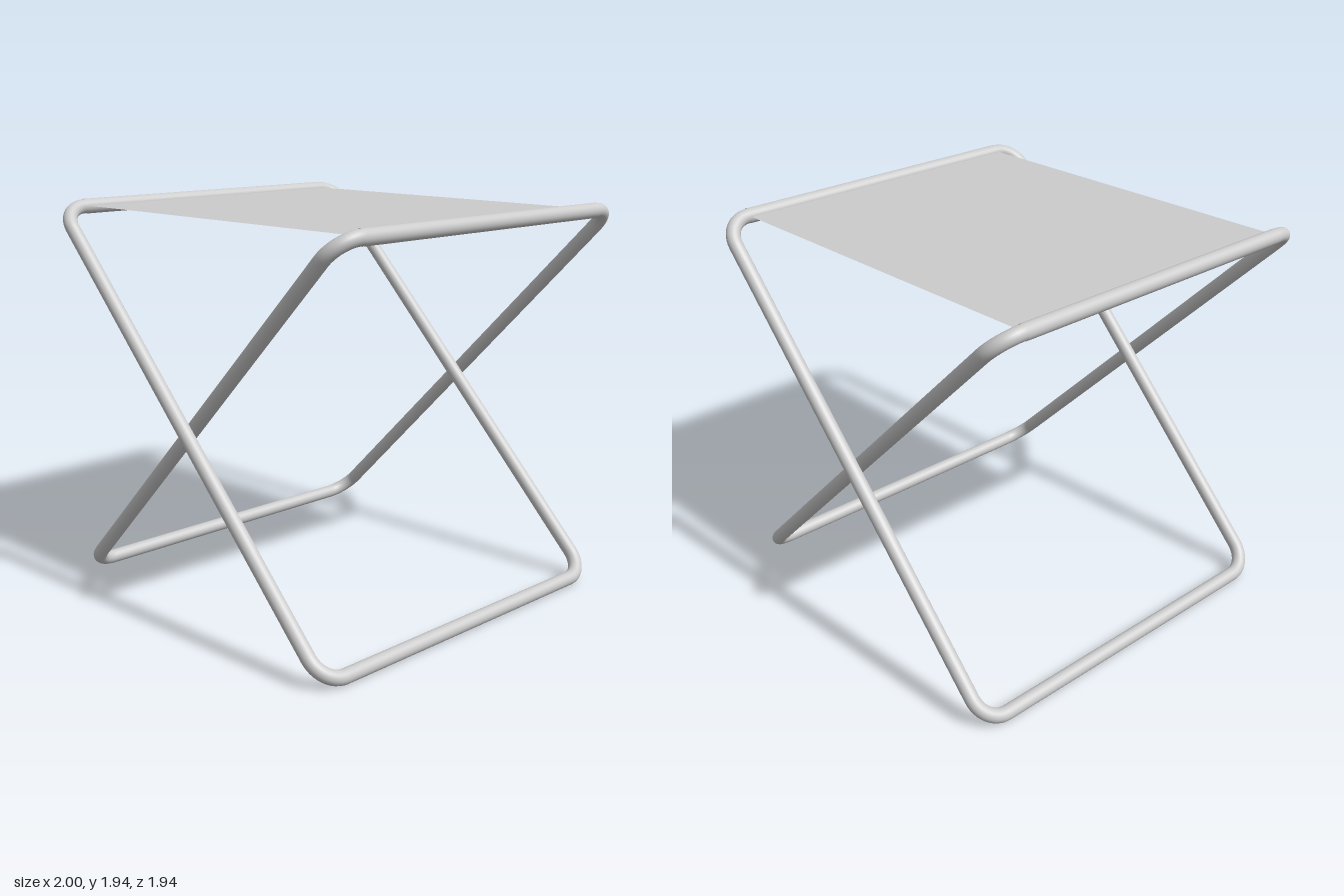
import * as THREE from 'three';

const TUBE = 0.035;          // tube radius
const BEND = 0.13;           // corner bend radius
const REACH = 0.935;         // bar distance from the crossing point, in y and z
const HALF_W = 0.925;        // frame half width
const HALF_H = REACH * Math.SQRT2;
const OFFSET = 0.04;         // sideways shift letting the frames pass each other
const MID_Y = 0.972;

const metal = new THREE.MeshStandardMaterial({ color: 0xcccccc });
const cloth = new THREE.MeshStandardMaterial({ color: 0xcccccc, side: THREE.DoubleSide });

function add(parent, name, geometry, material) {
  const mesh = new THREE.Mesh(geometry, material);
  mesh.name = name;
  parent.add(mesh);
  return mesh;
}

// Rounded rectangular loop of bent tube; side = 1 leans its top to the front
function makeFrame(name, side) {
  const frame = new THREE.Group();
  frame.name = name;
  const w = HALF_W - BEND, h = HALF_H - BEND;
  for (const s of [-1, 1]) {
    add(frame, 'leg', new THREE.CylinderGeometry(TUBE, TUBE, 2 * h, 24, 1, true), metal)
      .position.x = s * HALF_W;
    const bar = add(frame, s > 0 ? 'topBar' : 'footBar',
      new THREE.CylinderGeometry(TUBE, TUBE, 2 * w, 24, 1, true), metal);
    bar.rotation.z = Math.PI / 2;
    bar.position.y = s * HALF_H;
  }
  [[1, 1], [-1, 1], [-1, -1], [1, -1]].forEach(([sx, sy], i) => {
    const bend = add(frame, 'cornerBend',
      new THREE.TorusGeometry(BEND, TUBE, 24, 12, Math.PI / 2), metal);
    bend.position.set(sx * w, sy * h, 0);
    bend.rotation.z = i * Math.PI / 2;
  });
  frame.position.set(side * OFFSET, MID_Y, 0);
  frame.rotation.x = side * Math.PI / 4;
  return frame;
}

// Cloth seat: a flat skewed sheet with a sleeve around each top bar
function makeSeat() {
  const seat = new THREE.Group();
  seat.name = 'seat';
  const width = 2 * (HALF_W - BEND);
  const sheet = new THREE.PlaneGeometry(width, 2 * REACH).rotateX(-Math.PI / 2);
  const p = sheet.attributes.position;
  for (let i = 0; i < p.count; i++) p.setX(i, p.getX(i) + OFFSET * p.getZ(i) / REACH);
  add(seat, 'seatSheet', sheet, cloth).position.y = MID_Y + REACH + 0.005;
  for (const side of [-1, 1]) {
    const r = TUBE + 0.002;
    const sleeve = add(seat, 'seatSleeve',
      new THREE.CylinderGeometry(r, r, width, 24, 1, true), cloth);
    sleeve.rotation.z = Math.PI / 2;
    sleeve.position.set(side * OFFSET, MID_Y + REACH, side * REACH);
  }
  return seat;
}

export function createModel() {
  const model = new THREE.Group();
  model.name = 'foldingStool';
  model.add(makeFrame('frontTopFrame', 1), makeFrame('backTopFrame', -1), makeSeat());
  return model;
}
